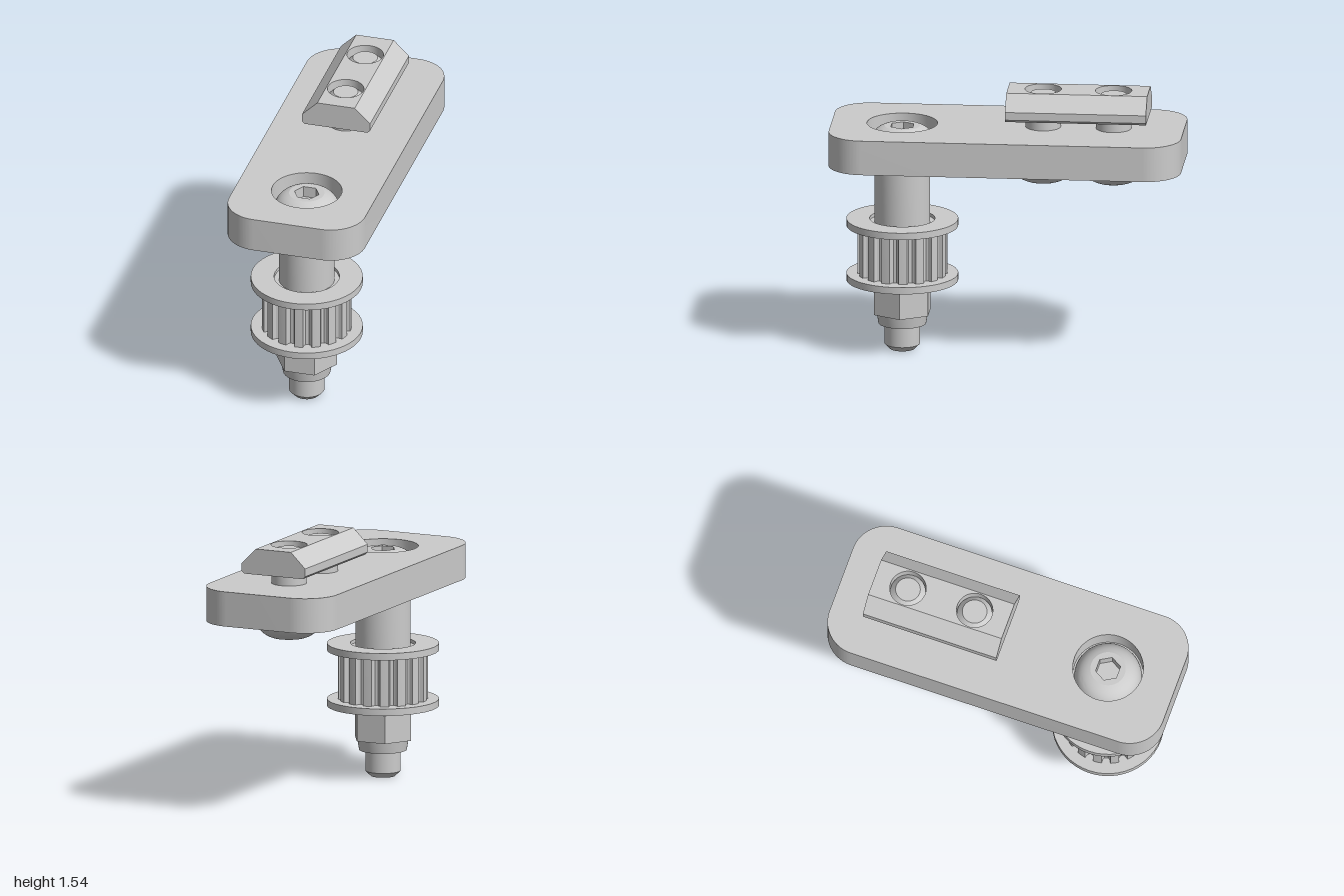
import * as THREE from 'three';
import { toCreasedNormals } from 'three/addons/utils/BufferGeometryUtils.js';

const material = new THREE.MeshStandardMaterial({ color: 0xcccccc });
const inside = new THREE.MeshStandardMaterial({ color: 0xcccccc, side: THREE.BackSide });
const AXLE_Z = 0.6;

function add(parent, name, geometry, mat = material) {
  const mesh = new THREE.Mesh(geometry, mat);
  mesh.name = name;
  parent.add(mesh);
  return mesh;
}

// Turned part from [radius, height] pairs listed upwards along the outside
function turned(points, segments = 48) {
  const profile = points.map(([r, y]) => new THREE.Vector2(r, y));
  return toCreasedNormals(new THREE.LatheGeometry(profile, segments), 0.5);
}

const disc = (r, y0, y1) => turned([[0, y0], [r, y0], [r, y1], [0, y1]]);
const ring = (ri, ro, y0, y1) => turned([[ri, y0], [ro, y0], [ro, y1], [ri, y1], [ri, y0]]);

// Upright extrusion of a plan outline (plan y becomes -z)
function upright(shape, y0, y1, crease = 0.5) {
  const g = new THREE.ExtrudeGeometry(shape, { depth: y1 - y0, bevelEnabled: false, curveSegments: 24 });
  return toCreasedNormals(g.rotateX(-Math.PI / 2).translate(0, y0, 0), crease);
}

function circleHole(x, y, r) {
  return new THREE.Path().absarc(x, y, r, 0, Math.PI * 2, true);
}

// Button-head screw: seat at y = 0, head upwards, shank downwards
function screw(name, length) {
  const group = new THREE.Group();
  group.name = name;
  const flatR = 0.1, headH = 0.11, hexR = 0.072, socketDepth = 0.065;

  const dome = new THREE.QuadraticBezierCurve(
    new THREE.Vector2(0.19, 0), new THREE.Vector2(0.18, 0.085), new THREE.Vector2(flatR, headH));
  add(group, 'screwHead', turned([[0, 0], ...dome.getPoints(12).map(p => [p.x, p.y])]));

  // Flat top around the hexagonal socket
  const top = new THREE.Shape().absarc(0, 0, flatR, 0, Math.PI * 2);
  const hex = Array.from({ length: 6 }, (_, i) =>
    new THREE.Vector2(hexR * Math.cos(-i * Math.PI / 3), hexR * Math.sin(-i * Math.PI / 3)));
  top.holes.push(new THREE.Path(hex));
  add(group, 'screwHeadTop', new THREE.ShapeGeometry(top, 24).rotateX(-Math.PI / 2).translate(0, headH, 0));

  const walls = new THREE.CylinderGeometry(hexR, hexR, socketDepth, 6, 1, true, Math.PI / 2);
  add(group, 'socketWalls', toCreasedNormals(walls.translate(0, headH - socketDepth / 2, 0), 0.5), inside);
  add(group, 'socketFloor',
    new THREE.CircleGeometry(hexR, 6).rotateX(-Math.PI / 2).translate(0, headH - socketDepth, 0));

  add(group, 'screwShank', turned([[0, -length], [0.07, -length], [0.1, -length + 0.03], [0.1, 0], [0, 0]]));
  return group;
}

// Rounded plate with a counterbore for the axle screw
function buildPlate(group) {
  const w = 0.4, l = 1, r = 0.2;
  const shape = new THREE.Shape();
  shape.absarc(w - r, l - r, r, 0, Math.PI / 2);
  shape.absarc(-w + r, l - r, r, Math.PI / 2, Math.PI);
  shape.absarc(-w + r, -l + r, r, Math.PI, Math.PI * 1.5);
  shape.absarc(w - r, -l + r, r, Math.PI * 1.5, Math.PI * 2);
  shape.closePath();
  shape.holes.push(circleHole(0, -AXLE_Z, 0.2));
  add(group, 'plate', upright(shape, 1.125, 1.325));
  add(group, 'counterboreFloor', disc(0.2, 1.125, 1.2)).position.z = AXLE_Z;
}

// Slot nut: drilled centre block with a sloping wing on each side
function buildSlotNut() {
  const nut = new THREE.Group();
  nut.name = 'slotNut';
  const y0 = 1.397, y1 = 1.545, half = 0.11, len = 0.8;
  const block = new THREE.Shape([[-half, 0], [half, 0], [half, len], [-half, len]].map(p => new THREE.Vector2(...p)));
  for (const y of [0.2, 0.6]) block.holes.push(circleHole(0, y, 0.103));
  add(nut, 'slotNutCentre', upright(block, y0, y1));

  const wing = [[half, y0], [0.185, y0], [0.2, y0 + 0.015], [0.2, 1.457], [half, y1]];
  for (const side of [1, -1]) {
    const pts = wing.map(([x, y]) => new THREE.Vector2(side * x, y));
    const g = new THREE.ExtrudeGeometry(new THREE.Shape(pts), { depth: len, bevelEnabled: false });
    add(nut, side > 0 ? 'slotNutLeftWing' : 'slotNutRightWing', g.translate(0, 0, -len));
  }
  return nut;
}

// Toothed belt pulley with two flanges and a bearing
function buildPulley() {
  const pulley = new THREE.Group();
  pulley.name = 'pulley';
  const teeth = 16, outer = 0.255, root = 0.222, bore = 0.185;
  const outline = [];
  for (let i = 0; i < teeth; i++) {
    // Tooth land followed by a rounded groove
    for (const [t, r] of [[0, outer], [0.25, outer], [0.5, outer], [0.54, root + 0.01],
      [0.64, root], [0.86, root], [0.96, root + 0.01]]) {
      const a = (i + t) / teeth * Math.PI * 2;
      outline.push(new THREE.Vector2(r * Math.cos(a), r * Math.sin(a)));
    }
  }
  const shape = new THREE.Shape(outline);
  shape.holes.push(circleHole(0, 0, bore));
  add(pulley, 'pulleyTeeth', upright(shape, 0.445, 0.725));
  add(pulley, 'lowerFlange', ring(bore, 0.317, 0.405, 0.445));
  add(pulley, 'upperFlange', ring(bore, 0.317, 0.725, 0.765));
  add(pulley, 'bearing', ring(0.1, bore, 0.425, 0.745));
  return pulley;
}

export function createModel() {
  const model = new THREE.Group();
  model.name = 'idlerPulleyBracket';
  buildPlate(model);
  model.add(buildSlotNut());

  // Mounting screws, driven from below into the slot nut
  for (const z of [-0.2, -0.6]) {
    const s = screw('mountingScrew', 0.4);
    s.rotation.x = Math.PI;
    s.position.set(0, 1.125, z);
    model.add(s);
  }

  // Axle stack hanging under the plate
  const axle = new THREE.Group();
  axle.name = 'axle';
  axle.position.z = AXLE_Z;
  model.add(axle);
  const bolt = screw('axleScrew', 1.2);
  bolt.position.y = 1.2;
  axle.add(bolt, buildPulley());
  add(axle, 'spacer', ring(0.1, 0.157, 0.745, 1.125));
  add(axle, 'washer', ring(0.1, 0.152, 0.375, 0.425));

  // Lock nut with a tapered collar
  const hexNut = new THREE.CylinderGeometry(0.177, 0.177, 0.16, 6, 1, false, Math.PI / 2);
  add(axle, 'lockNut', toCreasedNormals(hexNut.translate(0, 0.295, 0), 0.5));
  add(axle, 'lockNutCollar', turned([[0.1, 0.15], [0.135, 0.15], [0.146, 0.215], [0.1, 0.215]]));
  return model;
}
